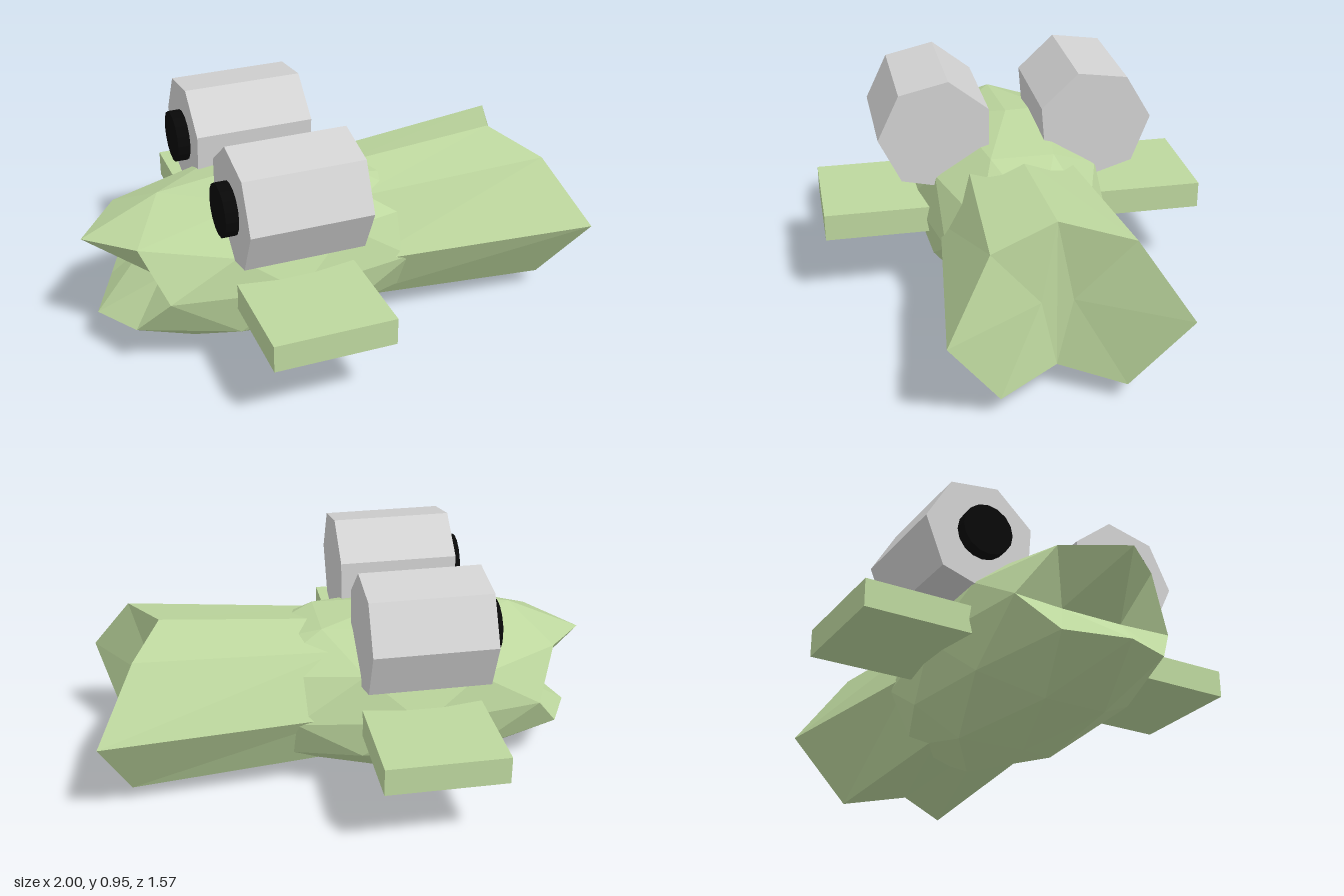
import * as THREE from 'three';

const flat = (name, color) => {
  const m = new THREE.MeshStandardMaterial({ color, flatShading: true });
  m.name = name;
  return m;
};

// Faceted head: a squashed icosphere with the front dented into an open mouth
function headGeometry() {
  const g = new THREE.IcosahedronGeometry(1, 1);
  g.rotateX(-Math.atan((1 + Math.sqrt(5)) / 2)); // a vertex straight up
  g.rotateY(-Math.PI / 2);
  const p = g.attributes.position;
  for (let i = 0; i < p.count; i++) {
    // The two foremost points of the equator become the back of the mouth
    if (p.getX(i) < -0.9 && Math.abs(p.getY(i)) < 0.1) p.setX(i, -0.57);
  }
  g.scale(0.835, 0.355, 0.41);
  g.translate(-0.25, 0.358, 0);
  g.computeVertexNormals();
  return g;
}

// Flaring tail: two eight-point rings, closed by a notched end
function tailGeometry() {
  const mirrorRing = (half) => [
    ...half,
    ...half.slice(1, -1).reverse().map(([x, y, z]) => [x, y, -z]),
  ];
  const near = mirrorRing([
    [0.05, 0.64, 0], [0.05, 0.597, 0.207], [0.05, 0.368, 0.325], [0.05, 0.125, 0.2], [0.05, 0.13, 0],
  ]);
  const far = mirrorRing([
    [0.73, 0.693, 0], [0.845, 0.65, 0.262], [1, 0.39, 0.44], [0.885, 0.08, 0.235], [0.75, 0.11, 0],
  ]);
  const innerL = [0.75, 0.38, 0.06], innerR = [0.75, 0.38, -0.06];
  const pts = [];
  const tri = (a, b, c) => pts.push(...a, ...b, ...c);
  for (let i = 0; i < 8; i++) {
    const j = (i + 1) % 8;
    tri(near[i], near[j], far[i]);
    tri(near[j], far[j], far[i]);
    tri(far[i], far[j], i < 4 ? innerL : innerR);
  }
  tri(far[0], innerL, far[4]);
  tri(far[0], far[4], innerR);
  const g = new THREE.BufferGeometry();
  g.setAttribute('position', new THREE.Float32BufferAttribute(pts, 3));
  g.computeVertexNormals();
  return g;
}

// Cylinder lying along x, with its first corner at the given angle from +z towards +y
function lyingCylinder(radius, length, sides, angle) {
  const g = new THREE.CylinderGeometry(radius, radius, length, sides);
  g.rotateZ(Math.PI / 2);
  g.rotateX(-angle);
  return g;
}

export function createModel() {
  const model = new THREE.Group();
  const green = flat('paleGreen', 0xbdd79e);
  const grey = flat('eyeGrey', 0xd2d2d2);
  const black = flat('pupilBlack', 0x080808);

  const add = (name, geometry, material, x = 0, y = 0, z = 0) => {
    const m = new THREE.Mesh(geometry, material);
    m.name = name;
    m.position.set(x, y, z);
    model.add(m);
  };

  add('head', headGeometry(), green);
  add('tail', tailGeometry(), green);

  // Flat fins reaching out on both sides
  add('sideFins', new THREE.BoxGeometry(0.475, 0.11, 1.57), green, -0.2525, 0.358, 0);

  // Seven-sided eyes with round pupils
  for (const side of [1, -1]) {
    const corner = side > 0 ? 0 : Math.PI - 0.08;
    add('eye', lyingCylinder(0.234, 0.475, 7, corner), grey, -0.2525, 0.722, side * 0.322);
    add('pupil', lyingCylinder(0.104, 0.06, 16, 0), black, -0.51, 0.722, side * 0.32);
  }
  return model;
}
